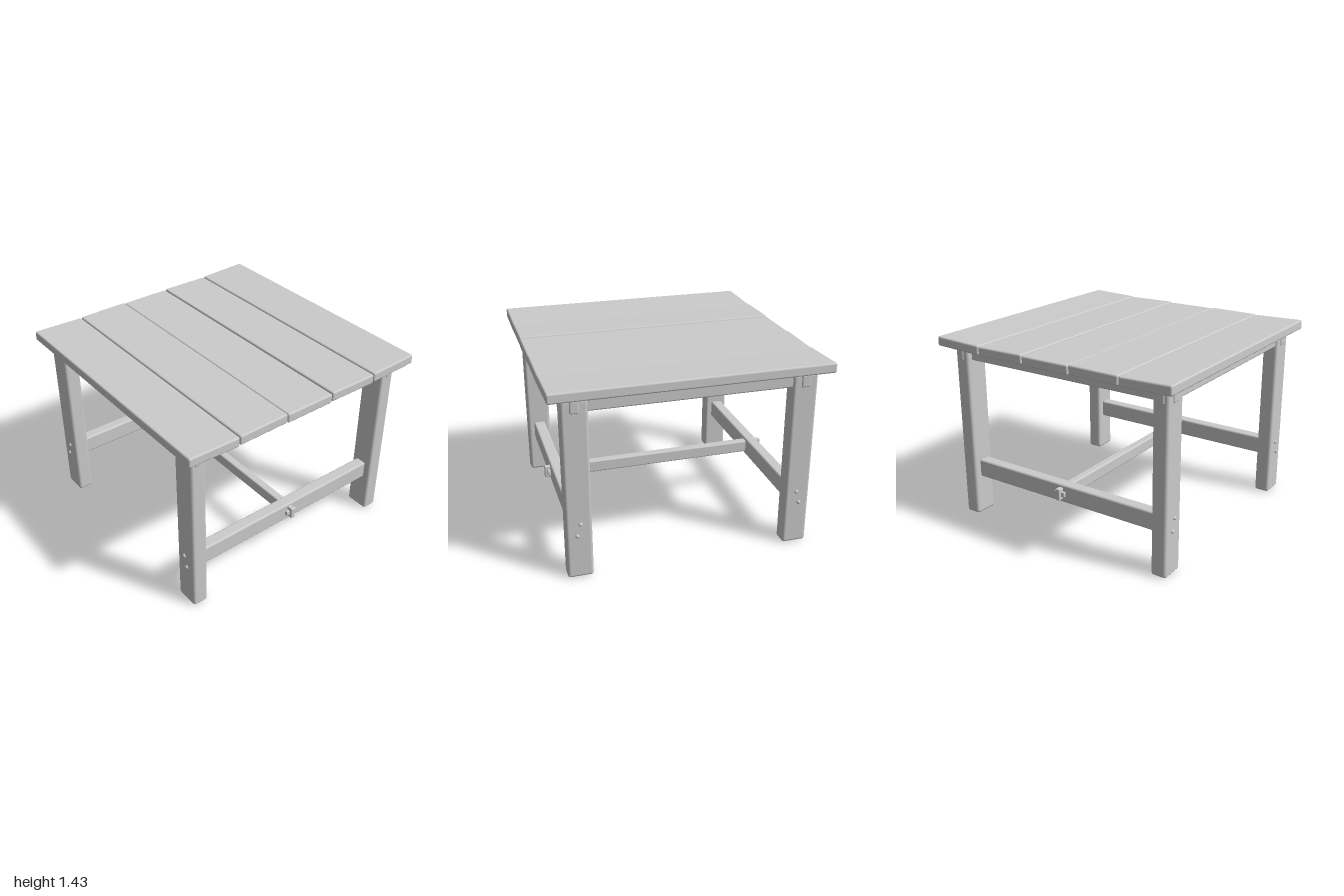
import * as THREE from 'three';
import { RoundedBoxGeometry } from 'three/addons/geometries/RoundedBoxGeometry.js';

export function createModel() {
  const table = new THREE.Group();
  table.name = 'table';
  const wood = new THREE.MeshStandardMaterial({ color: 0xcccccc });

  // softly worn timber, given by its size and centre
  function timber(name, [w, h, d], [x, y, z], radius = 0.012) {
    const mesh = new THREE.Mesh(new RoundedBoxGeometry(w, h, d, 3, radius), wood);
    mesh.name = name;
    mesh.position.set(x, y, z);
    table.add(mesh);
    return mesh;
  }

  // domed wooden peg end
  const pegGeometry = new THREE.SphereGeometry(0.015, 12, 8);
  function peg(name, x, y, z) {
    const mesh = new THREE.Mesh(pegGeometry, wood);
    mesh.name = name;
    mesh.position.set(x, y, z);
    table.add(mesh);
  }

  // top planks from back to front, each lying a little differently
  const planks = [
    { y: 1.391, tilt: 0.035 },
    { y: 1.382, tilt: -0.012 },
    { y: 1.378, tilt: 0 },
    { y: 1.382, tilt: 0.01 },
    { y: 1.381, tilt: -0.025 },
  ];
  planks.forEach(({ y, tilt }, i) => {
    const plank = timber('topPlank', [2, 0.072, 0.396], [0, y, (i - 2) * 0.4], 0.013);
    plank.rotation.x = tilt;
  });

  const legX = 0.813, legZ = 0.86, railY = 1.295;

  for (const sx of [-1, 1]) {
    for (const sz of [-1, 1]) {
      // legs, with the rail tenons showing on the outer faces
      timber('leg', [0.185, 1.345, 0.12], [sx * legX, 0.6725, sz * legZ], 0.022);
      timber('sideRailTenon', [0.065, 0.092, 0.04], [sx * legX, railY, sz * 0.908], 0.01);
      timber('crossRailTenon', [0.04, 0.092, 0.048], [sx * 0.892, railY, sz * 0.865], 0.01);
      // pegs locking the lower stretchers
      peg('legPeg', sx * 0.803, 0.425, sz * 0.92);
      peg('legPeg', sx * 0.828, 0.335, sz * 0.92);
    }
    // rails under the top
    timber('sideRail', [0.1, 0.092, 1.62], [sx * legX, railY, 0]);
    timber('crossRail', [1.46, 0.092, 0.09], [0, railY, sx * 0.86]);
    for (const z of [-0.7, -0.38, 0, 0.39, 0.71]) peg('railPeg', sx * legX, 1.251, z);

    // lower side stretcher with the through tenon and its wedge
    timber('sideStretcher', [0.09, 0.14, 1.6], [sx * legX, 0.38, 0], 0.015);
    timber('stretcherTenon', [0.08, 0.09, 0.036], [sx * 0.862, 0.383, 0], 0.007);
    timber('stretcherWedge', [0.024, 0.04, 0.092], [sx * 0.872, 0.383, 0], 0.006);
  }

  // long stretcher joining the two sides
  timber('centreStretcher', [1.56, 0.095, 0.065], [0, 0.383, 0]);

  return table;
}
